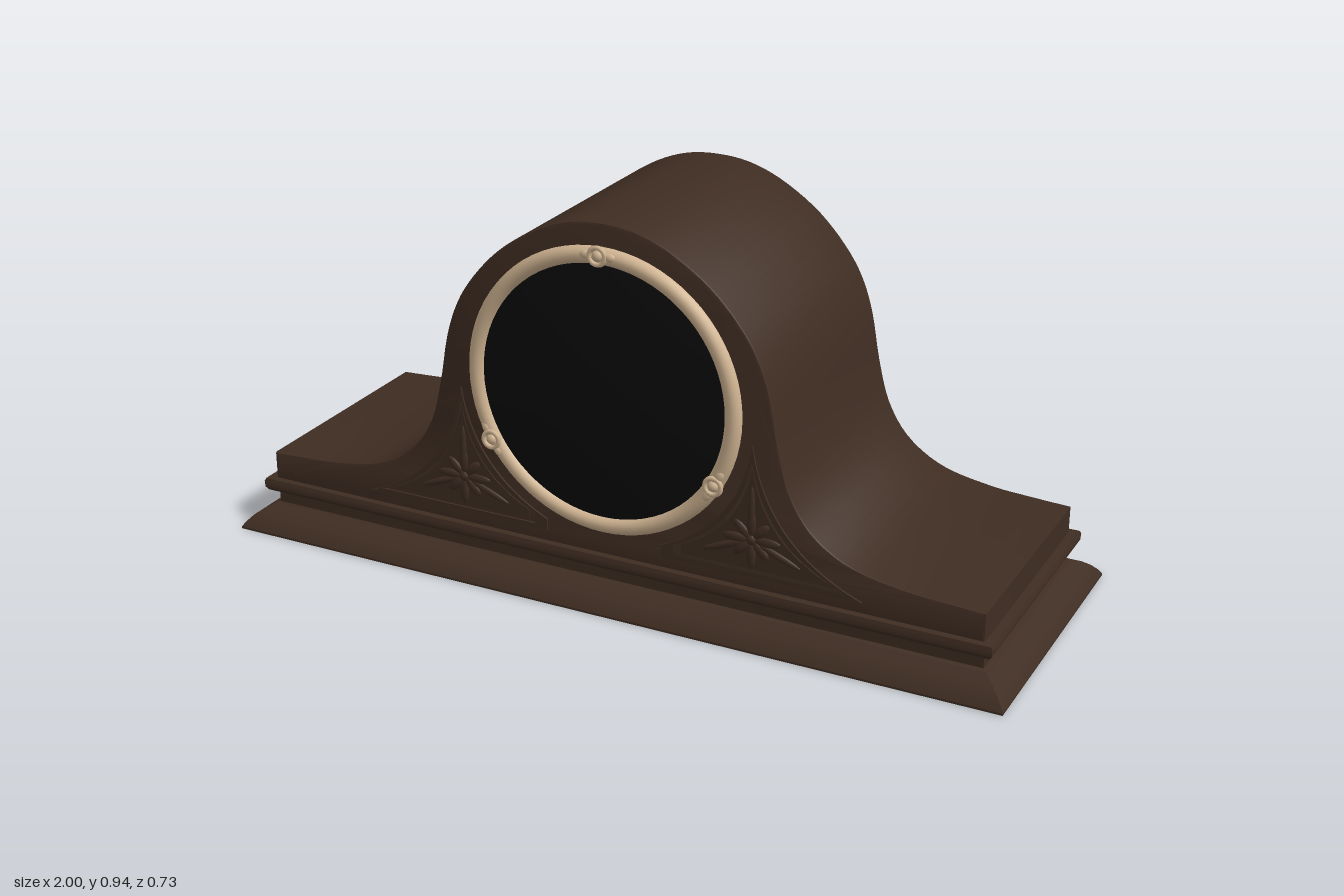
import * as THREE from 'three';
import { toCreasedNormals } from 'three/addons/utils/BufferGeometryUtils.js';

const material = (name, color) => {
  const m = new THREE.MeshStandardMaterial({ color });
  m.name = name;
  return m;
};

export function createModel() {
  const wood = material('dark walnut', 0x3f2d22);
  const cream = material('cream bezel', 0xd0b492);
  const black = material('black glass', 0x0a0a0a);
  const clock = new THREE.Group();
  clock.name = 'mantelClock';

  const add = (name, geometry, mat, x = 0, y = 0, z = 0, parent = clock) => {
    const mesh = new THREE.Mesh(geometry, mat);
    mesh.name = name;
    mesh.position.set(x, y, z);
    parent.add(mesh);
    return mesh;
  };
  const extrude = (shape, depth, bevel, crease = 0.5) => toCreasedNormals(
    new THREE.ExtrudeGeometry(shape, {
      depth: depth - 2 * bevel, curveSegments: 24, bevelEnabled: bevel > 0,
      bevelSize: bevel, bevelThickness: bevel, bevelOffset: -bevel, bevelSegments: 2,
    }).translate(0, 0, bevel), crease);

  // Rectangular moulding: profile of [half depth, height], mitred at the corners
  const moulding = (profile) => {
    const rings = profile.map(([d, y]) => {
      const w = d + 0.635;
      return [[w, y, d], [w, y, -d], [-w, y, -d], [-w, y, d]];
    });
    const pos = [];
    const quad = (a, b, c, d) => pos.push(...a, ...b, ...c, ...a, ...c, ...d);
    for (let k = 0; k < rings.length - 1; k++) {
      for (let i = 0; i < 4; i++) {
        const j = (i + 1) % 4;
        quad(rings[k][i], rings[k][j], rings[k + 1][j], rings[k + 1][i]);
      }
    }
    const [a, b, c, d] = rings[0];
    quad(d, c, b, a);
    quad(...rings[rings.length - 1]);
    const g = new THREE.BufferGeometry();
    g.setAttribute('position', new THREE.Float32BufferAttribute(pos, 3));
    return toCreasedNormals(g, 0.5);
  };

  // Plinth and the ledge above it
  add('plinth', moulding([[0.365, 0], [0.365, 0.005], [0.356, 0.018], [0.342, 0.033],
    [0.323, 0.047], [0.302, 0.058], [0.293, 0.061], [0.293, 0.1]]), wood);
  add('ledge', moulding([[0.29, 0.095], [0.312, 0.097], [0.318, 0.106], [0.319, 0.122],
    [0.316, 0.129], [0.295, 0.13]]), wood);

  // Tambour case: bell-shaped outline mirrored about the centre
  const half = [[0.93, 0.197], [0.83, 0.202], [0.73, 0.21], [0.61, 0.236], [0.52, 0.293],
    [0.465, 0.375], [0.435, 0.48], [0.412, 0.6], [0.38, 0.69], [0.33, 0.765],
    [0.26, 0.836], [0.17, 0.895], [0.085, 0.928]];
  const outline = [...half, [0, 0.937], ...half.map(([x, y]) => [-x, y]).reverse()]
    .map(([x, y]) => new THREE.Vector2(x, y));
  const caseShape = new THREE.Shape();
  caseShape.moveTo(-0.93, 0.12);
  caseShape.lineTo(0.93, 0.12);
  caseShape.lineTo(0.93, 0.197);
  caseShape.splineThru(outline.slice(1));
  caseShape.closePath();
  // one sample per spline step keeps the curve smooth
  const caseGeometry = new THREE.ExtrudeGeometry(caseShape, {
    depth: 0.588, curveSegments: 4, bevelSize: 0.006, bevelThickness: 0.006,
    bevelOffset: -0.006, bevelSegments: 2,
  });
  add('case', toCreasedNormals(caseGeometry, 0.5), wood, 0, 0, -0.294);

  // Domed dial glass
  const dome = [];
  for (let i = 0; i <= 12; i++) {
    const r = 0.318 * (1 - i / 12);
    dome.push(new THREE.Vector2(r, 0.036 * (1 - (r / 0.318) ** 2)));
  }
  add('dialGlass', new THREE.LatheGeometry(dome, 64).rotateX(Math.PI / 2), black, 0, 0.535, 0.304);

  // Bezel with three carved shell mounts
  add('bezel', new THREE.TorusGeometry(0.328, 0.0205, 16, 72), cream, 0, 0.535, 0.3);
  [90, 210, 330].forEach((deg) => {
    const mount = new THREE.Group();
    mount.name = 'bezelMount';
    mount.position.set(0, 0.535, 0.312);
    mount.rotation.z = THREE.MathUtils.degToRad(deg - 90);
    clock.add(mount);
    add('mountRing', new THREE.TorusGeometry(0.02, 0.006, 8, 20), cream, 0, 0.331, 0.007, mount);
    add('mountBoss', new THREE.SphereGeometry(0.015, 14, 10), cream, 0, 0.331, 0, mount);
    [-1, 1].forEach((s) => {
      const leaf = add('mountLeaf', new THREE.SphereGeometry(1, 12, 8), cream, s * 0.03, 0.33, 0.002, mount);
      leaf.scale.set(0.018, 0.011, 0.009);
      leaf.rotation.z = -s * 0.1;
    });
  });

  // Carved spandrels: curved triangular frame with a flower inside
  const cx = 0.375, cy = 0.245;
  const spandrel = (side, k, path) => {
    const p = (x, y) => [side * (cx + (x - cx) * k), cy + (y - cy) * k];
    path.moveTo(...p(0.375, 0.48));
    path.quadraticCurveTo(...p(0.412, 0.241), ...p(0.645, 0.157));
    path.lineTo(...p(0.15, 0.157));
    path.lineTo(...p(0.15, 0.187));
    path.quadraticCurveTo(...p(0.345, 0.275), ...p(0.375, 0.48));
    return path;
  };
  [1, -1].forEach((side) => {
    const frame = spandrel(side, 1, new THREE.Shape());
    frame.holes.push(spandrel(side, 0.86, new THREE.Path()));
    add('spandrelFrame', extrude(frame, 0.007, 0), wood, 0, 0, 0.298);
    const inner = spandrel(side, 0.78, new THREE.Shape());
    add('spandrelPanel', extrude(inner, 0.004, 0), wood, 0, 0, 0.298);

    const flower = new THREE.Group();
    flower.name = 'carvedFlower';
    flower.position.set(side * cx, 0.25, 0.301);
    clock.add(flower);
    const petal = (name, angle, length, width) => {
      const m = add(name, new THREE.SphereGeometry(1, 14, 8), wood,
        -Math.sin(angle) * length * 0.6, Math.cos(angle) * length * 0.6, 0, flower);
      m.scale.set(width, length / 2, 0.007);
      m.rotation.z = angle;
    };
    for (let i = 0; i < 8; i++) petal('petal', i * Math.PI / 4, i % 2 ? 0.055 : 0.066, 0.012);
    petal('topLeaf', 0, 0.12, 0.009);
    [-1, 1].forEach((s) => petal('sideLeaf', s * 1.95, 0.12, 0.009));
    add('flowerCentre', new THREE.SphereGeometry(0.013, 14, 10), wood, 0, 0, 0, flower).scale.z = 0.7;
  });

  // Arched back door and its knob
  const door = new THREE.Shape();
  door.moveTo(-0.355, 0.195);
  door.lineTo(0.355, 0.195);
  door.lineTo(0.355, 0.515);
  door.absarc(0, 0.515, 0.355, 0, Math.PI, false);
  door.closePath();
  add('backDoor', extrude(door, 0.016, 0.002), wood, 0, 0, -0.31);
  add('doorKnob', new THREE.SphereGeometry(0.018, 18, 12), wood, 0.16, 0.545, -0.31).scale.z = 0.3;

  return clock;
}
